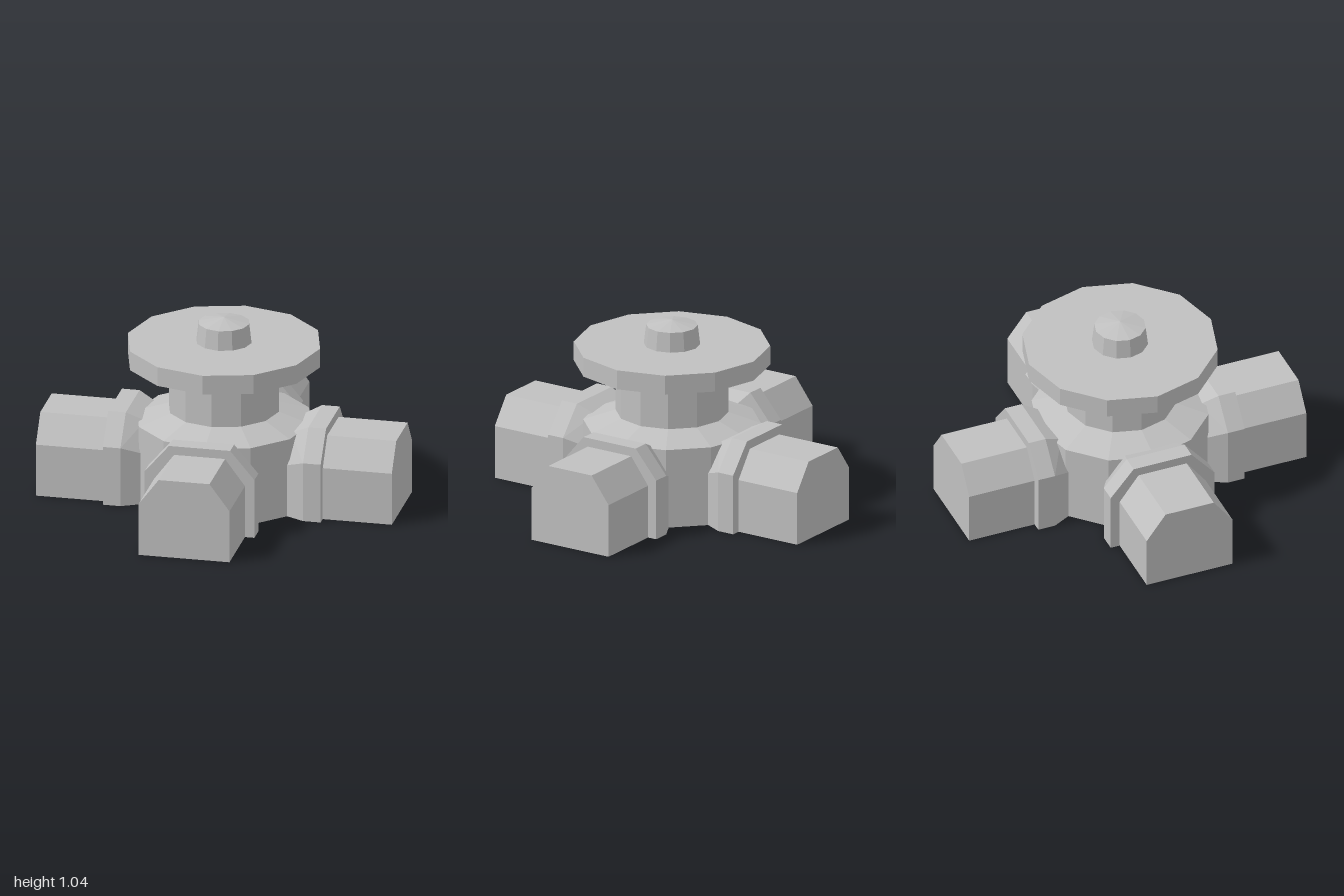
import * as THREE from 'three';
import { ConvexGeometry } from 'three/addons/geometries/ConvexGeometry.js';

const SIDES = 12;

// Chamfered arch outline standing on the ground
const archPoints = (halfWidth, shoulderY, halfTop, topY) => [
  [-halfWidth, 0], [halfWidth, 0], [halfWidth, shoulderY],
  [halfTop, topY], [-halfTop, topY], [-halfWidth, shoulderY],
];

export function createModel() {
  const group = new THREE.Group();
  const grey = new THREE.MeshStandardMaterial({ color: 0xc0c0c0, flatShading: true });
  grey.name = 'grey';

  const add = (name, geometry, parent = group) => {
    const mesh = new THREE.Mesh(geometry, grey);
    mesh.name = name;
    parent.add(mesh);
    return mesh;
  };
  const turned = (name, profile) => add(name,
    new THREE.LatheGeometry(profile.map(([r, y]) => new THREE.Vector2(r, y)), SIDES));

  // Central hub with sloped shoulder and neck
  turned('hub', [[0, 0], [0.489, 0], [0.489, 0.45], [0.31, 0.51], [0.31, 0.77]]);

  // Wide disc with a shallow conical underside
  turned('disc', [[0.3, 0.76], [0.31, 0.76], [0.54, 0.79], [0.54, 0.9], [0, 0.9]]);

  // Tapered knob with a low pointed top
  turned('knob', [[0.155, 0.9], [0.142, 1.01], [0, 1.04]]);

  // Arm and collar outlines
  const armOutline = archPoints(0.255, 0.3, 0.143, 0.45);
  const collarOutline = archPoints(0.308, 0.34, 0.172, 0.5);

  const armGeometry = new THREE.ExtrudeGeometry(
    new THREE.Shape(armOutline.map(([x, y]) => new THREE.Vector2(x, y))),
    { depth: 0.65, bevelEnabled: false });
  armGeometry.translate(0, 0, 0.35);

  // Collar flares out from the arm section, then runs straight
  const ring = (outline, z) => outline.map(([x, y]) => new THREE.Vector3(x, y, z));
  const collarGeometry = new ConvexGeometry([
    ...ring(armOutline, 0.41), ...ring(collarOutline, 0.513), ...ring(collarOutline, 0.612),
  ]);

  // Four identical arms around the hub
  ['front', 'left', 'back', 'right'].forEach((side, i) => {
    const branch = new THREE.Group();
    branch.name = side + 'Branch';
    branch.rotation.y = i * Math.PI / 2;
    add(side + 'Arm', armGeometry, branch);
    add(side + 'Collar', collarGeometry, branch);
    group.add(branch);
  });

  return group;
}
